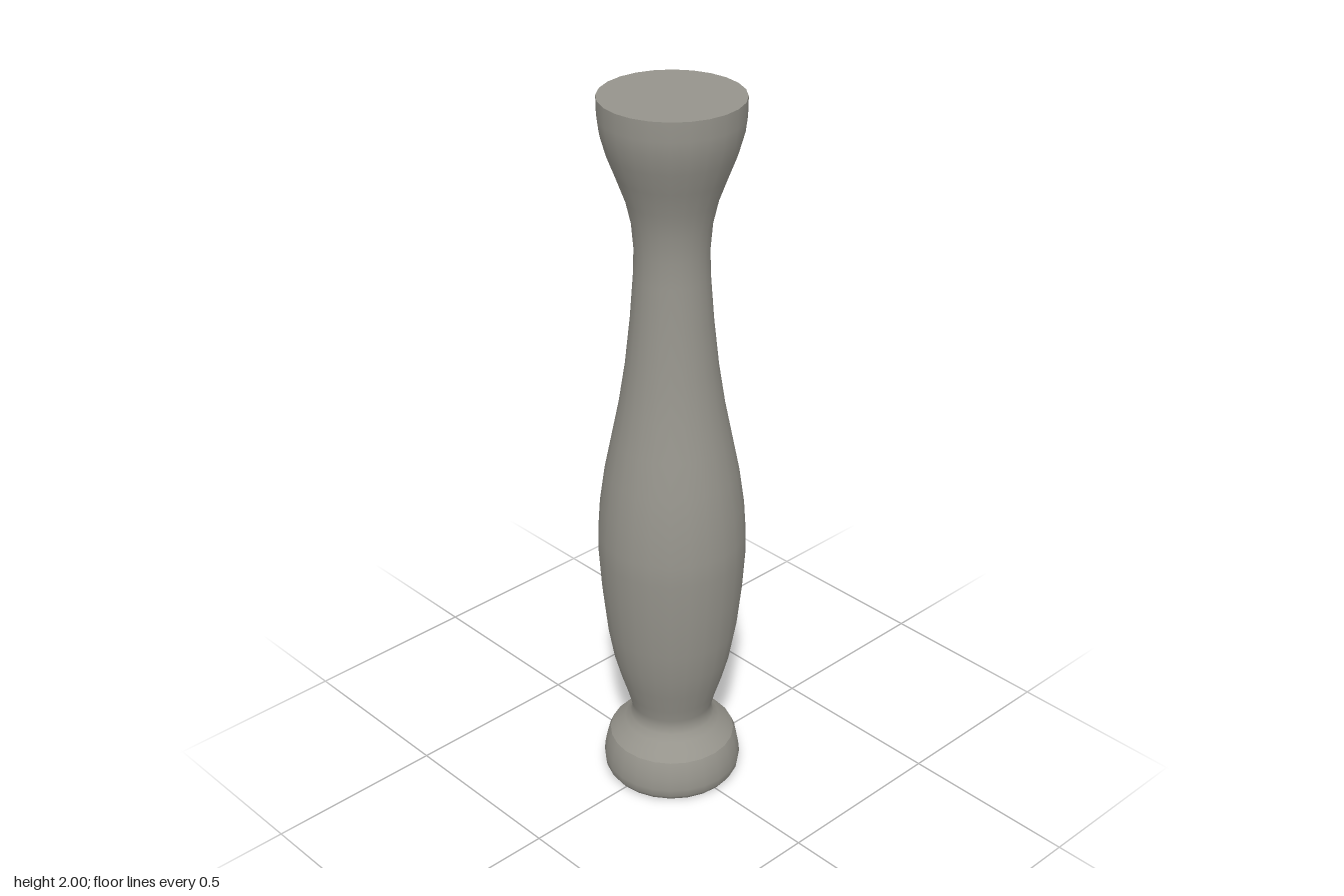
import * as THREE from 'three';

const SIDES = 24;

export function createModel() {
  const model = new THREE.Group();
  model.name = 'baluster';
  const stone = new THREE.MeshStandardMaterial({ color: 0x96948c });
  stone.name = 'warm grey stone';

  const add = (name, geometry) => {
    const mesh = new THREE.Mesh(geometry, stone);
    mesh.name = name;
    model.add(mesh);
    return mesh;
  };
  // Turned part from [radius, height] pairs, bottom to top
  const turn = (name, profile) =>
    add(name, new THREE.LatheGeometry(profile.map(([r, y]) => new THREE.Vector2(r, y)), SIDES));
  // Flat disc closing an end, its corners matching the turned parts
  const cap = (name, radius, y, up) => {
    const disc = new THREE.CircleGeometry(radius, SIDES);
    disc.rotateX(up ? -Math.PI / 2 : Math.PI / 2);
    add(name, disc).position.y = y;
  };

  // Rounded foot
  turn('foot', [
    [0.165, 0], [0.181, 0.005], [0.189, 0.018], [0.192, 0.04],
    [0.189, 0.07], [0.183, 0.1], [0.174, 0.122],
  ]);
  // Shoulder and neck of the foot, belly, slender neck and flared head
  turn('shaft', [
    [0.174, 0.122], [0.155, 0.142], [0.132, 0.162], [0.117, 0.18], [0.111, 0.2],
    [0.114, 0.222], [0.124, 0.26], [0.143, 0.32], [0.162, 0.39], [0.178, 0.48],
    [0.191, 0.6], [0.199, 0.72], [0.198, 0.78], [0.192, 0.87], [0.178, 0.97],
    [0.158, 1.07], [0.138, 1.17], [0.121, 1.28], [0.107, 1.41], [0.098, 1.53],
    [0.096, 1.6], [0.102, 1.67], [0.117, 1.735], [0.141, 1.8],
    [0.164, 1.86], [0.178, 1.91], [0.183, 1.95], [0.184, 2],
  ]);
  cap('topFace', 0.184, 2, true);
  cap('underside', 0.165, 0, false);

  return model;
}
